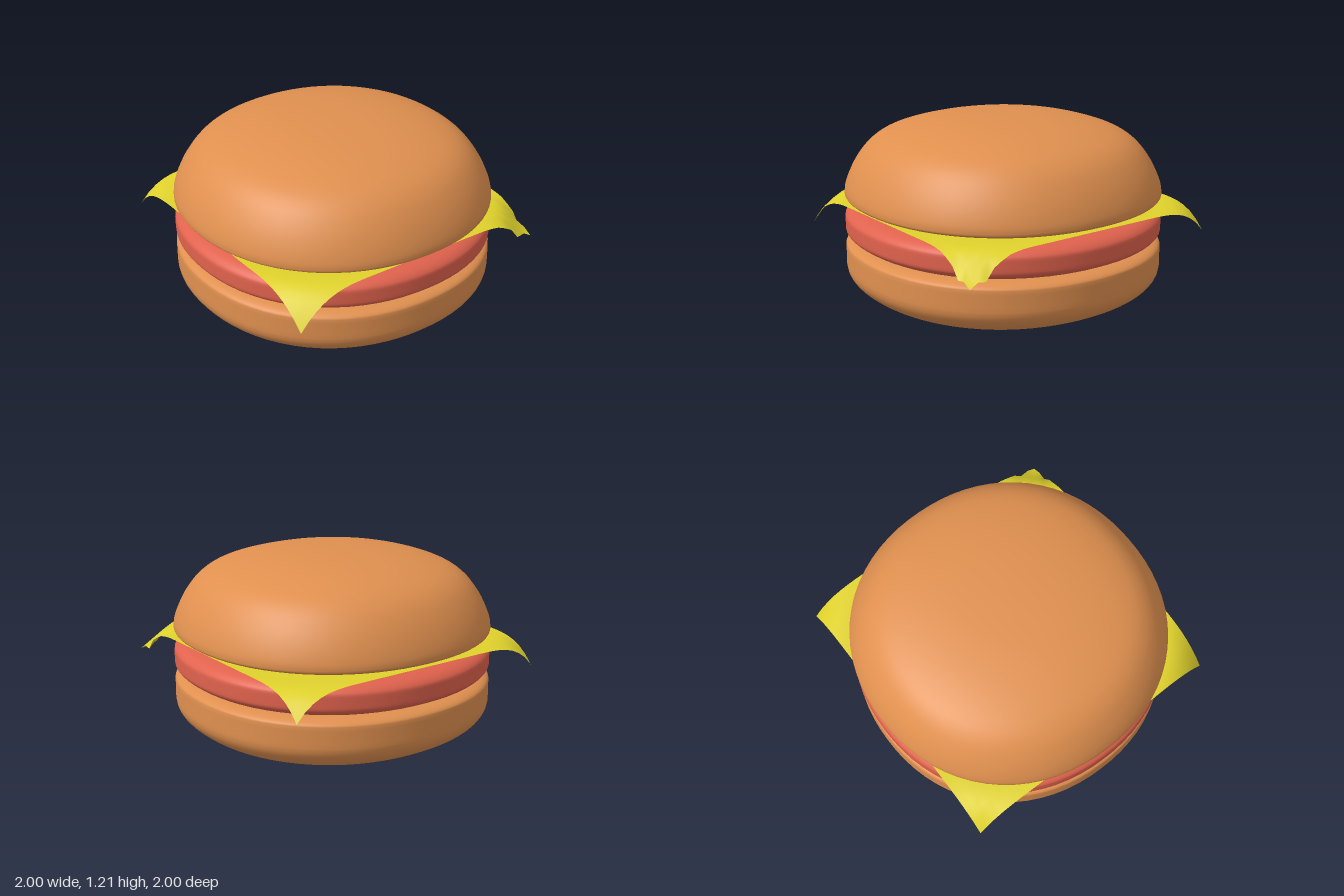
import * as THREE from 'three';
import { mergeVertices } from 'three/addons/utils/BufferGeometryUtils.js';

// Smooth turned disc whose outline is very slightly squared off
function roundPart(name, color, profile) {
  const curve = new THREE.CatmullRomCurve3(profile.map(([r, y]) => new THREE.Vector3(r, y, 0)));
  const points = curve.getPoints(48).map((p) => new THREE.Vector2(Math.min(1, Math.max(0, p.x)), p.y));
  points[0].x = points[points.length - 1].x = 0;
  let geometry = new THREE.LatheGeometry(points, 72);
  const pos = geometry.attributes.position;
  const power = 2.13;
  for (let i = 0; i < pos.count; i++) {
    const x = pos.getX(i), z = pos.getZ(i), r = Math.hypot(x, z);
    if (r < 1e-6) continue;
    const k = 1 / Math.pow(Math.abs(x / r) ** power + Math.abs(z / r) ** power, 1 / power);
    pos.setXYZ(i, x * k, pos.getY(i), z * k);
  }
  geometry.deleteAttribute('normal');
  geometry.deleteAttribute('uv');
  geometry = mergeVertices(geometry, 1e-5);
  geometry.computeVertexNormals();
  const mesh = new THREE.Mesh(geometry, new THREE.MeshStandardMaterial({ color }));
  mesh.name = name;
  return mesh;
}

// Square slice lying flat, its four corners drooping past the patty
function cheeseSlice() {
  const half = 0.91;
  const geometry = new THREE.PlaneGeometry(2 * half, 2 * half, 32, 32).rotateX(-Math.PI / 2);
  const pos = geometry.attributes.position;
  for (let i = 0; i < pos.count; i++) {
    const x = pos.getX(i);
    let z = pos.getZ(i);
    const t = Math.max(0, (Math.hypot(x, z) - 1) / 0.287);
    let drop = 0.155 * t ** 3.2;
    if (x > 0 && z > 0) {
      // longest corner, pulled slightly inward
      drop = 0.205 * t ** 2.3;
      z -= 0.03 * t;
    } else if (x > 0 && z < 0) {
      // blunt corner with a small crinkle
      const s = Math.min(1, t / 0.75);
      drop = 0.15 * s ** 3 + 0.02 * t ** 3 * Math.cos((x + z) * 55);
    }
    pos.setXYZ(i, x, 0.656 - drop, z);
  }
  geometry.computeVertexNormals();
  const mesh = new THREE.Mesh(geometry, new THREE.MeshStandardMaterial({ color: 0xe0d22c, side: THREE.DoubleSide }));
  mesh.name = 'cheeseSlice';
  return mesh;
}

export function createModel() {
  const group = new THREE.Group();
  group.name = 'burger';
  const bun = 0xe0904f;

  group.add(roundPart('bottomBun', bun, [
    [0, 0], [0.25, 0.008], [0.5, 0.023], [0.7, 0.048], [0.85, 0.087], [0.94, 0.14], [0.985, 0.195],
    [1, 0.25], [1, 0.385], [0.97, 0.41], [0.9, 0.424], [0.6, 0.426], [0, 0.426],
  ]));

  group.add(roundPart('patty', 0xe0624d, [
    [0, 0.42], [0.6, 0.42], [0.87, 0.427], [0.96, 0.45], [1, 0.49],
    [1, 0.58], [0.965, 0.617], [0.88, 0.641], [0.6, 0.648], [0, 0.648],
  ]));

  group.add(cheeseSlice());

  group.add(roundPart('topBun', bun, [
    [0, 0.67], [0.6, 0.674], [0.88, 0.685], [0.97, 0.7], [1, 0.72], [0.998, 0.76], [0.97, 0.845],
    [0.92, 0.94], [0.85, 1.03], [0.76, 1.095], [0.6, 1.15], [0.4, 1.185], [0.2, 1.2], [0, 1.205],
  ]));

  return group;
}
